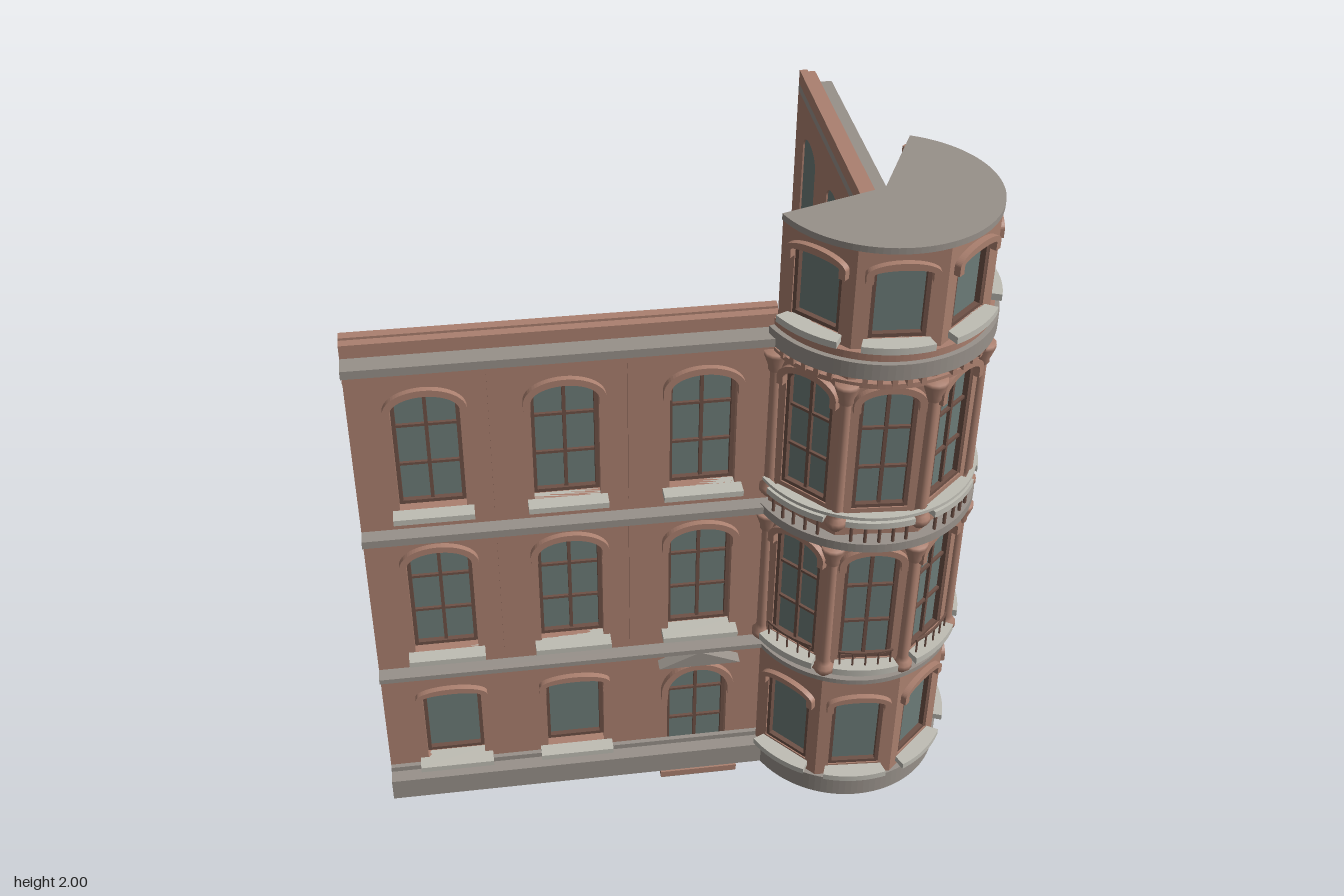
import * as THREE from 'three';

const mat = (name, color) => {
  const m = new THREE.MeshStandardMaterial({ color });
  m.name = name;
  return m;
};
const brick = mat('brick', 0xab806f);
const stone = mat('stone', 0x98918a);
const paleStone = mat('pale stone', 0xbfbdb4);
const glass = mat('glass', 0x6c7c78);
const frameMat = mat('window frame', 0x6e5146);

const RAD = Math.PI / 180;

function add(parent, name, geometry, material, x = 0, y = 0, z = 0) {
  const m = new THREE.Mesh(geometry, material);
  m.name = name;
  m.position.set(x, y, z);
  parent.add(m);
  return m;
}

// box given by its limits
function box(parent, name, material, x0, x1, y0, y1, z0, z1) {
  return add(parent, name, new THREE.BoxGeometry(x1 - x0, y1 - y0, z1 - z0), material,
    (x0 + x1) / 2, (y0 + y1) / 2, (z0 + z1) / 2);
}

const extrude = (shape, depth) =>
  new THREE.ExtrudeGeometry(shape, { depth, bevelEnabled: false, curveSegments: 16 });

// rectangle with a curved head
function archShape(u, w, y0, y1, rise) {
  const s = new THREE.Shape();
  s.moveTo(u - w / 2, y0);
  s.lineTo(u + w / 2, y0);
  s.lineTo(u + w / 2, y1 - rise);
  s.absellipse(u, y1 - rise, w / 2, rise, 0, Math.PI, false);
  s.closePath();
  return s;
}

function wallPanel(parent, u0, u1, y0, y1, z0, z1, openings) {
  const s = new THREE.Shape();
  s.moveTo(u0, y0);
  s.lineTo(u1, y0);
  s.lineTo(u1, y1);
  s.lineTo(u0, y1);
  s.closePath();
  openings.forEach(o => s.holes.push(archShape(o.u, o.w, o.y0, o.y1, o.rise)));
  add(parent, 'wall', extrude(s, z1 - z0), brick, 0, 0, z0);
}

// glass, frame, bars and arched hood for one opening
function windowUnit(parent, o, z0, z1) {
  const g = new THREE.Group();
  g.name = o.door ? 'door' : 'window';
  parent.add(g);
  const { u, w, y0, y1, rise } = o, t = 0.011;
  add(g, 'glass', extrude(archShape(u, w, y0, y1, rise), 0.006), glass, 0, 0, z0 + 0.006);
  const rim = archShape(u, w, y0, y1, rise);
  rim.holes.push(archShape(u, w - 2 * t, y0 + t, y1 - t, Math.max(rise - t * 0.5, 0.004)));
  add(g, 'frame', extrude(rim, 0.016), frameMat, 0, 0, z0 + 0.012);
  if (o.bars) {
    box(g, 'upright bar', frameMat, u - 0.005, u + 0.005, y0, y1 - 0.004, z0 + 0.012, z0 + 0.022);
    for (const f of [0.34, 0.67]) {
      const y = y0 + (y1 - y0) * f;
      box(g, 'cross bar', frameMat, u - w / 2, u + w / 2, y - 0.004, y + 0.004, z0 + 0.012, z0 + 0.021);
    }
  }
  // hood with short legs
  const h = 0.02, leg = y1 - rise - 0.025, s = new THREE.Shape();
  s.moveTo(u + w / 2, leg);
  s.lineTo(u + w / 2 + h, leg);
  s.lineTo(u + w / 2 + h, y1 - rise);
  s.absellipse(u, y1 - rise, w / 2 + h, rise + h, 0, Math.PI, false);
  s.lineTo(u - w / 2 - h, leg);
  s.lineTo(u - w / 2, leg);
  s.lineTo(u - w / 2, y1 - rise);
  s.absellipse(u, y1 - rise, w / 2, rise, Math.PI, 0, true);
  s.closePath();
  add(g, 'hood', extrude(s, 0.018), brick, 0, 0, z1);
}

// straight wing: u runs along local x, depth outward along local z
function wing(name, u0, u1, centres, pilasters, doorIndex) {
  const g = new THREE.Group();
  g.name = name;
  const front = 0.056, openings = [];
  centres.forEach((u, i) => {
    openings.push(i === doorIndex
      ? { u, w: 0.185, y0: 0.04, y1: 0.42, rise: 0.088, bars: true, door: true }
      : { u, w: 0.175, y0: 0.14, y1: 0.42, rise: 0.015 });
    openings.push({ u, w: 0.185, y0: 0.59, y1: 0.98, rise: 0.05, bars: true });
    openings.push({ u, w: 0.185, y0: 1.13, y1: 1.52, rise: 0.05, bars: true });
  });
  wallPanel(g, u0, u1, 0.03, 1.62, 0, front, openings);
  for (const o of openings) {
    windowUnit(g, o, 0, front);
    if (!o.door) box(g, 'sill', paleStone, o.u - 0.112, o.u + 0.112, o.y0 - 0.018, o.y0, 0.03, 0.1);
  }
  for (const u of pilasters)
    for (const [a, b] of [[0.565, 1.04], [1.11, 1.58]])
      box(g, 'pilaster', brick, u - 0.02, u + 0.02, a, b, front, front + 0.01);
  // horizontal courses
  for (const [n, m, a, b, z0, z1] of [
    ['plinth', stone, 0.03, 0.105, front, 0.112],
    ['plinth course', stone, 0.105, 0.122, front, 0.07],
    ['belt course', stone, 0.515, 0.531, front, 0.1],
    ['belt course', stone, 1.04, 1.064, front, 0.1],
    ['cornice band', brick, 1.575, 1.62, front, 0.07],
    ['cornice', stone, 1.62, 1.645, 0, 0.112],
    ['parapet', brick, 1.645, 1.692, 0, 0.027],
    ['parapet face', brick, 1.645, 1.685, 0.027, 0.053],
  ]) box(g, n, m, u0, u1, a, b, z0, z1);
  if (doorIndex !== undefined) {
    const u = centres[doorIndex];
    box(g, 'doorstep', brick, u - 0.12, u + 0.12, 0.008, 0.03, 0.05, 0.118);
    box(g, 'doorstep tread', stone, u - 0.112, u + 0.112, 0, 0.008, 0.05, 0.112);
    const p = new THREE.Shape();
    p.moveTo(u - 0.123, 0.46);
    p.lineTo(u + 0.123, 0.46);
    p.lineTo(u, 0.515);
    p.closePath();
    add(g, 'pediment', extrude(p, 0.04), stone, 0, 0, front);
  }
  return g;
}

// horizontal ring sector between two angles
function ring(parent, name, material, r0, r1, y0, y1, a0, a1) {
  const s = new THREE.Shape();
  s.absarc(0, 0, r1, a0 * RAD, a1 * RAD, false);
  if (r0 > 0) s.absarc(0, 0, r0, a1 * RAD, a0 * RAD, true);
  else s.lineTo(0, 0);
  s.closePath();
  const geo = new THREE.ExtrudeGeometry(s, { depth: y1 - y0, bevelEnabled: false, curveSegments: 32 });
  geo.rotateX(Math.PI / 2);
  return add(parent, name, geo, material, 0, y1, 0);
}

// column with flared capital and bulbous foot
function column(parent, a, r, y0, y1) {
  const pts = [[0, 0], [0.014, 0], [0.03, 0.02], [0.03, 0.035], [0.02, 0.045], [0.017, 0.06],
    [0.015, y1 - y0 - 0.07], [0.021, y1 - y0 - 0.062], [0.021, y1 - y0 - 0.05],
    [0.034, y1 - y0 - 0.012], [0.034, y1 - y0], [0, y1 - y0]].map(p => new THREE.Vector2(...p));
  add(parent, 'column', new THREE.LatheGeometry(pts, 12), brick,
    r * Math.cos(a * RAD), y0, r * Math.sin(a * RAD));
}

function tower() {
  const g = new THREE.Group();
  g.name = 'corner tower';
  const R = 0.305, turn = 4, A0 = -63.5, A1 = 161.5;
  const ap = R * Math.cos(22.5 * RAD), half = R * Math.sin(22.5 * RAD), back = ap - 0.032;
  // five flat faces, each with a stack of windows
  for (let i = 0; i < 5; i++) {
    const mid = -45 + 45 * i + turn;
    const f = new THREE.Group();
    f.name = 'tower face';
    f.rotation.y = Math.PI / 2 - mid * RAD;
    g.add(f);
    const openings = [
      { u: 0, w: 0.155, y0: 0.14, y1: 0.42, rise: 0.015 },
      { u: 0, w: 0.155, y0: 0.59, y1: 1.0, rise: 0.035, bars: true },
      { u: 0, w: 0.155, y0: 1.16, y1: 1.555, rise: 0.035, bars: true },
      { u: 0, w: 0.15, y0: 1.72, y1: 1.93, rise: 0.012 },
    ];
    wallPanel(f, -half, half, 0.05, 1.982, back, ap, openings);
    openings.forEach(o => windowUnit(f, o, back, ap));
    // sills follow the round of the tower
    for (const [y0, y1] of [[0.115, 0.135], [0.565, 0.588], [1.125, 1.145], [1.7, 1.72]])
      ring(g, 'tower sill', paleStone, 0.272, 0.332, y0, y1, mid - 17, mid + 17);
    // railings, balusters and dentils
    ring(g, 'window rail', frameMat, 0.306, 0.312, 0.632, 0.638, mid - 15, mid + 15);
    for (let k = 0; k < 5; k++) {
      const a = (mid + (k - 2) * 7) * RAD;
      const at = (n, r, y, h, t, m) =>
        add(g, n, new THREE.CylinderGeometry(t, t, h, 6), m, r * Math.cos(a), y, r * Math.sin(a));
      at('railing bar', 0.309, 0.61, 0.05, 0.003, frameMat);
      at('baluster', 0.318, 1.095, 0.062, 0.005, frameMat);
      const d = add(g, 'dentil', new THREE.BoxGeometry(0.014, 0.028, 0.03), brick,
        0.305 * Math.cos(a), 1.607, 0.305 * Math.sin(a));
      d.rotation.y = Math.PI / 2 - a;
    }
  }
  // columns at the corners of the two middle storeys
  for (let i = 0; i < 6; i++) {
    const a = A0 + 45 * i;
    column(g, a, 0.303, 0.535, 1.03);
    column(g, a, 0.303, 1.09, 1.585);
  }
  for (const [n, m, r0, r1, y0, y1] of [
    ['tower plinth', stone, 0.255, 0.31, 0.03, 0.098],
    ['tower belt', stone, 0.27, 0.316, 0.515, 0.531],
    ['balcony floor', stone, 0.27, 0.33, 1.04, 1.068],
    ['balcony rail', paleStone, 0.313, 0.327, 1.15, 1.16],
    ['tower band', brick, 0.27, 0.312, 1.58, 1.595],
    ['tower cornice', stone, 0.27, 0.33, 1.62, 1.668],
    ['tower cornice top', brick, 0.27, 0.315, 1.668, 1.69],
  ]) ring(g, n, m, r0, r1, y0, y1, A0, A1);
  ring(g, 'tower roof', stone, 0, 0.308, 1.982, 2.0, A0, A1);
  return g;
}

export function createModel() {
  const model = new THREE.Group();
  model.name = 'corner building';
  const frontWing = wing('front wing', -0.888, 0.268, [-0.683, -0.31, 0.069], [-0.495, -0.12], 2);
  frontWing.position.z = 0.54;
  const sideWing = wing('side wing', -0.252, 0.858, [-0.053, 0.3, 0.652], [0.12, 0.477]);
  sideWing.rotation.y = Math.PI / 2;
  sideWing.position.x = 0.627;
  const corner = tower();
  corner.position.set(0.547, 0, 0.517);
  model.add(frontWing, sideWing, corner);
  return model;
}
